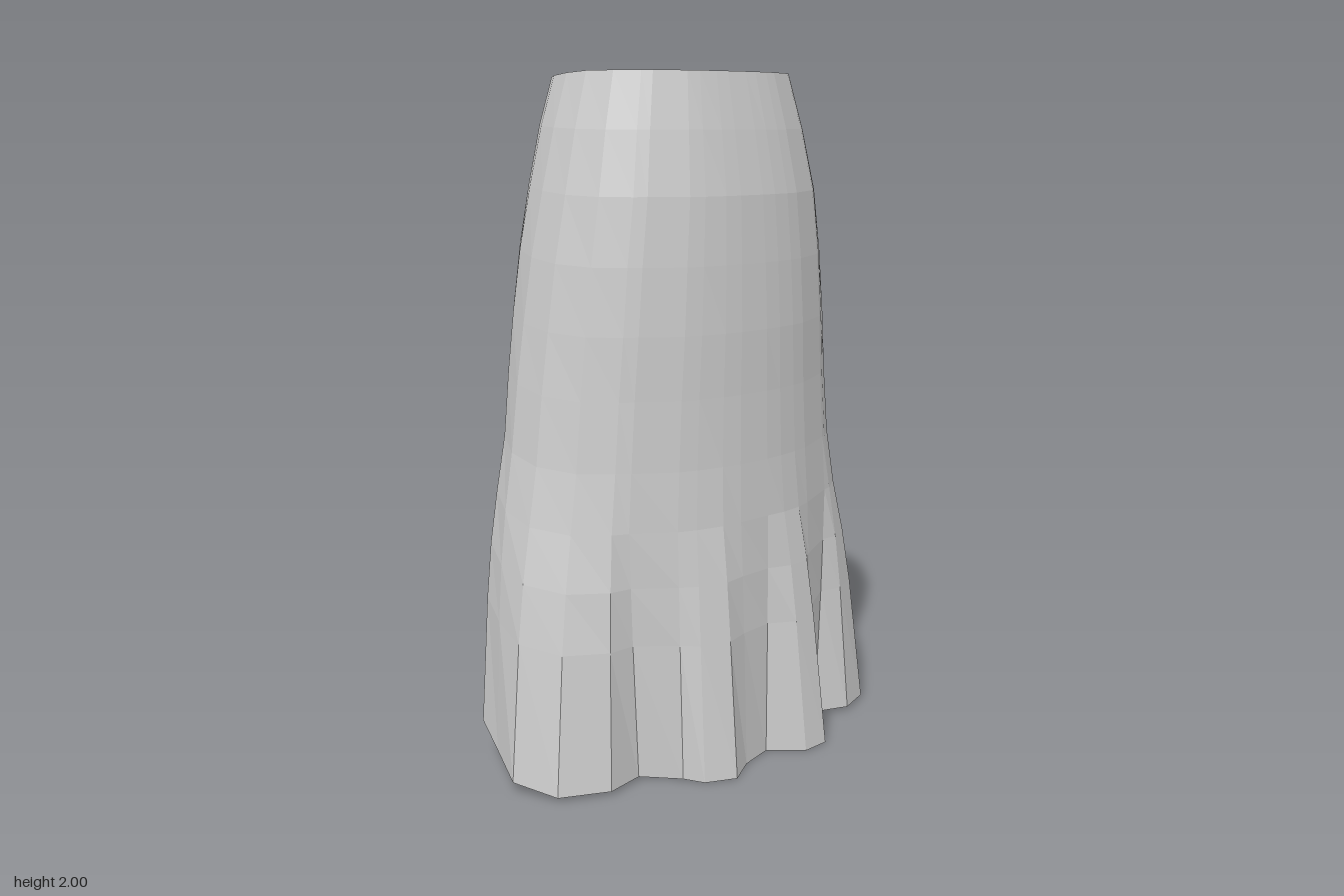
import * as THREE from 'three';

// hem outline, anticlockwise from the front centre:
// x, z, height, optional fold start height, optional fold power
const HEM = [
  [0.05, 0.345, 0], [0.14, 0.425, 0], [0.23, 0.42, 0], [0.25, 0.33, 0], [0.36, 0.25, 0.01],
  [0.47, 0.29, 0.01], [0.58, 0.25, 0.01], [0.66, 0.16, 0.02], [0.69, 0.07, 0.04], [0.65, -0.01, 0.06],
  [0.6, -0.08, 0.08], [0.66, -0.2, 0.13], [0.61, -0.27, 0.16], [0.54, -0.26, 0.2], [0.47, -0.23, 0.26],
  [0.42, -0.29, 0.28], [0.38, -0.37, 0.34], [0.29, -0.35, 0.4], [0.21, -0.37, 0.46], [0.14, -0.42, 0.52],
  [0.07, -0.4, 0.58], [0.01, -0.35, 0.76, 1.3], [-0.03, -0.43, 0.82], [-0.09, -0.38, 0.84], [-0.18, -0.39, 0.72],
  [-0.24, -0.35, 0.67], [-0.27, -0.28, 0.68, 2, 0.4], [-0.34, -0.36, 0.6], [-0.39, -0.36, 0.5],
  [-0.43, -0.3, 0.4], [-0.47, -0.24, 0.28], [-0.56, -0.23, 0.18], [-0.62, -0.17, 0.12],
  [-0.65, -0.05, 0.07], [-0.69, 0.08, 0.03], [-0.63, 0.21, 0.01], [-0.49, 0.275, 0.01],
  [-0.37, 0.25, 0.01], [-0.27, 0.33, 0], [-0.24, 0.39, 0], [-0.15, 0.43, 0], [-0.06, 0.375, 0],
];

// body profile: height, half width, front z, back z
const PROFILE = [
  [2, 0.36, 0.25, -0.305], [1.84, 0.41, 0.285, -0.33], [1.66, 0.455, 0.317, -0.355],
  [1.47, 0.492, 0.327, -0.378], [1.28, 0.52, 0.333, -0.392], [1.1, 0.545, 0.333, -0.398],
  [0.73, 0.592, 0.34, -0.398], [0, 0.625, 0.345, -0.4],
];
const ROWS = [0, 0.08, 0.17, 0.265, 0.36, 0.45, 0.55, 0.635, 0.715, 0.8, 1];
const N = HEM.length;

function profileAt(y) {
  let i = 0;
  while (i < PROFILE.length - 2 && y < PROFILE[i + 1][0]) i++;
  const a = PROFILE[i], b = PROFILE[i + 1];
  const t = (a[0] - y) / (a[0] - b[0]);
  return a.map((v, k) => v + (b[k] - v) * t);
}

// a point on the cloth: rounded oval above, pulled into the hem's folds below
function clothPoint(j, y) {
  const [hx, hz, hy, start = 0.76 + 1.05 * hy, power = 0.8] = HEM[j];
  const [, halfWidth, front, back] = profileAt(y);
  const angle = Math.atan2(hz / 0.4, hx / 0.65);
  const c = Math.cos(angle), s = Math.sin(angle);
  const p = 2 + 0.45 * Math.max(0, y - 1);
  const r = Math.pow(Math.abs(c) ** p + Math.abs(s) ** p, -1 / p);
  const x = halfWidth * c * r;
  const z = (front + back) / 2 + ((front - back) / 2) * s * r;
  const fold = Math.pow(THREE.MathUtils.clamp((start - y) / (start - hy), 0, 1), power);
  const dip = y > 1.99 ? 0.02 * Math.max(0, -z / 0.3) : 0;
  return [x + (hx - x) * fold, y - dip, z + (hz - z) * fold];
}

function makeMesh(name, positions, index, material) {
  const geometry = new THREE.BufferGeometry();
  geometry.setAttribute('position', new THREE.Float32BufferAttribute(positions.flat(), 3));
  geometry.setIndex(index);
  geometry.computeVertexNormals();
  const mesh = new THREE.Mesh(geometry, material);
  mesh.name = name;
  return mesh;
}

// flat panel spanning the cloth at one height
function makePanel(name, y, scale, up, material) {
  const points = [[0, y, -0.03]], index = [];
  for (let j = 0; j < N; j++) {
    const [px, py, pz] = clothPoint(j, y);
    points.push([px * scale, py, pz * scale]);
    const a = j + 1, b = ((j + 1) % N) + 1;
    index.push(0, ...(up ? [a, b] : [b, a]));
  }
  return makeMesh(name, points, index, material);
}

export function createModel() {
  const group = new THREE.Group();
  group.name = 'skirt';
  const cloth = new THREE.MeshStandardMaterial({ color: 0xcccccc });
  cloth.name = 'light grey cloth';
  cloth.flatShading = true;
  cloth.side = THREE.DoubleSide;

  // skirt wall with its raised back hem
  const points = [], index = [];
  for (const t of ROWS) {
    for (let j = 0; j < N; j++) points.push(clothPoint(j, 2 - t * (2 - HEM[j][2])));
  }
  for (let i = 0; i < ROWS.length - 1; i++) {
    for (let j = 0; j < N; j++) {
      const k = (j + 1) % N;
      const a = i * N + j, b = a + N, d = i * N + k, c = d + N;
      index.push(a, b, c, a, c, d);
    }
  }
  group.add(makeMesh('skirtWall', points, index, cloth));

  // closed waist and the inner lining
  group.add(makePanel('waistCap', 2, 1, true, cloth));
  group.add(makePanel('innerLining', 0.86, 0.98, false, cloth));
  return group;
}
